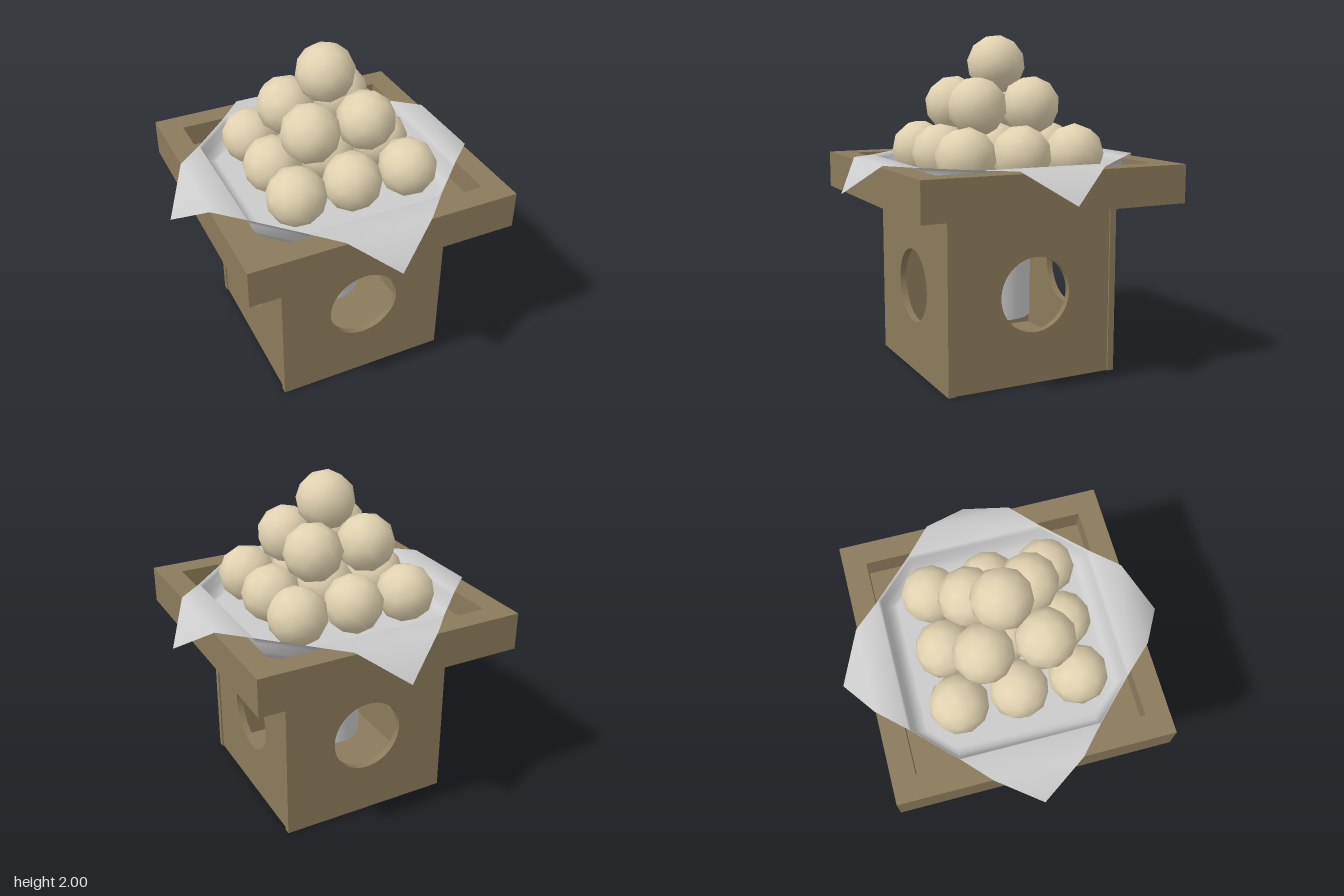
import * as THREE from 'three';

export function createModel() {
  const model = new THREE.Group();
  const wood = new THREE.MeshStandardMaterial({ color: 0x8c7b5c });
  const dough = new THREE.MeshStandardMaterial({ color: 0xe2d3b1 });
  const grey = new THREE.MeshStandardMaterial({ color: 0xcccccc });
  const paper = new THREE.MeshStandardMaterial({ color: 0xcccccc, side: THREE.DoubleSide });

  const add = (name, geometry, material, x = 0, y = 0, z = 0, parent = model) => {
    const mesh = new THREE.Mesh(geometry, material);
    mesh.name = name;
    mesh.position.set(x, y, z);
    parent.add(mesh);
    return mesh;
  };
  const rect = (x0, y0, x1, y1) => new THREE.Shape([
    new THREE.Vector2(x0, y0), new THREE.Vector2(x1, y0),
    new THREE.Vector2(x1, y1), new THREE.Vector2(x0, y1)]);

  // Stand: four panels with a round opening in each
  const stand = new THREE.Group();
  stand.name = 'stand';
  model.add(stand);
  const panel = (x0, x1) => {
    const shape = rect(x0, 0, x1, 1.04);
    shape.holes.push(new THREE.Path().absarc(0, 0.525, 0.22, 0, Math.PI * 2, true));
    return new THREE.ExtrudeGeometry(shape, { depth: 0.04, bevelEnabled: false, curveSegments: 32 });
  };
  add('frontPanel', panel(-0.53, 0.53), wood, 0, 0, 0.51, stand);
  add('backPanel', panel(-0.53, 0.53), wood, 0, 0, -0.53, stand);
  for (const [name, x] of [['leftPanel', 0.48], ['rightPanel', -0.52]]) {
    add(name, panel(-0.51, 0.49), wood, x, 0, 0, stand).rotation.y = Math.PI / 2;
  }
  add('standFloor', new THREE.BoxGeometry(0.96, 0.03, 1.0), wood, 0, 0.025, 0.01, stand);
  add('innerCylinder', new THREE.CylinderGeometry(0.212, 0.212, 0.46, 32), grey, 0, 0.525, 0, stand);

  // Tray: square rim around a sunken floor
  const rim = rect(-0.81, -0.81, 0.81, 0.81);
  rim.holes.push(rect(-0.67, -0.67, 0.67, 0.67));
  const rimGeometry = new THREE.ExtrudeGeometry(rim, { depth: 0.225, bevelEnabled: false });
  add('trayRim', rimGeometry.rotateX(-Math.PI / 2), wood, 0, 1.04, 0);
  add('trayFloor', new THREE.BoxGeometry(1.34, 0.085, 1.34), wood, 0, 1.0825, 0);

  // Paper sheet: octagonal rings climb the tray wall, then four flaps fold over the rim
  const positions = [0, 1.14, 0];
  const indices = [];
  const rings = [[0.55, 1.14], [0.59, 1.15], [0.62, 1.19], [0.64, 1.245], [0.652, 1.275]];
  const turned = (x, z, k) => {
    for (let i = 0; i < k; i++) [x, z] = [z, -x];
    return [x, z];
  };
  const point = (x, y, z, k) => {
    const [px, pz] = turned(x, z, k);
    positions.push(px, y, pz);
    return positions.length / 3 - 1;
  };
  for (const [r, y] of rings) {
    for (let k = 0; k < 4; k++) {
      point(-0.41, y, r, k);
      point(0.41, y, r, k);
    }
  }
  for (let j = 0; j < 8; j++) {
    const n = (j + 1) % 8;
    indices.push(0, 1 + j, 1 + n);
    for (let i = 0; i < rings.length - 1; i++) {
      const a = 1 + i * 8;
      indices.push(a + j, a + 8 + j, a + 8 + n, a + j, a + 8 + n, a + n);
    }
  }
  const last = 1 + (rings.length - 1) * 8;
  for (let k = 0; k < 4; k++) {
    const a = last + k * 2, b = a + 1;
    const c = point(-0.26, 1.28, 0.815, k);
    const d = point(0.26, 1.28, 0.815, k);
    const tip = point(0, 1.1, 0.975, k);
    indices.push(a, c, d, a, d, b, c, tip, d);
  }
  const sheet = new THREE.BufferGeometry();
  sheet.setAttribute('position', new THREE.Float32BufferAttribute(positions, 3));
  sheet.setIndex(indices);
  sheet.computeVertexNormals();
  add('paperSheet', sheet, paper);

  // Dumplings: coarse round balls stacked 3x3, 2x2 and 1, each turned differently
  const ball = new THREE.IcosahedronGeometry(0.175, 1);
  const p = ball.attributes.position, v = new THREE.Vector3();
  for (let i = 0; i < p.count; i++) {
    v.fromBufferAttribute(p, i).normalize();
    ball.attributes.normal.setXYZ(i, v.x, v.y, v.z);
  }
  const pile = new THREE.Group();
  pile.name = 'dumplingPile';
  model.add(pile);
  let count = 0;
  const layers = [
    { y: 1.31, xs: [-0.345, 0, 0.355], zs: [-0.34, 0.01, 0.36] },
    { y: 1.585, xs: [-0.185, 0.16], zs: [-0.15, 0.2] },
    { y: 1.828, xs: [0], zs: [0] },
  ];
  for (const { y, xs, zs } of layers) {
    for (const x of xs) {
      for (const z of zs) {
        count++;
        add('dumpling' + count, ball, dough, x, y, z, pile)
          .rotation.set(count * 1.7, count * 2.3, count * 0.9);
      }
    }
  }
  return model;
}
